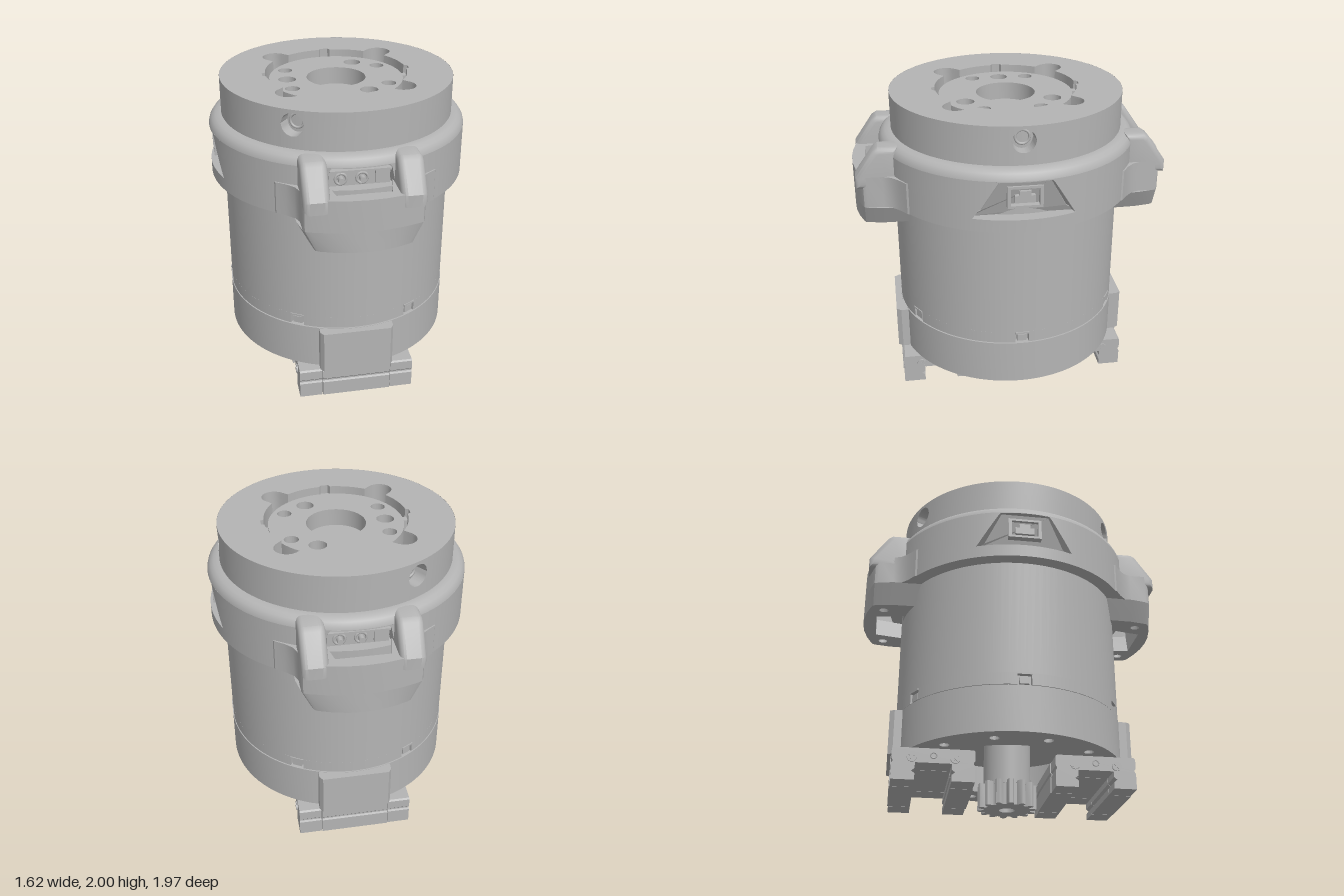
import * as THREE from 'three';
import { toCreasedNormals } from 'three/addons/utils/BufferGeometryUtils.js';

const metal = new THREE.MeshStandardMaterial({ color: 0xb4b4b4, side: THREE.DoubleSide });
metal.name = 'grey metal';
const PI = Math.PI;

function add(parent, name, geo, x = 0, y = 0, z = 0) {
  const m = new THREE.Mesh(geo, metal);
  m.name = name;
  m.position.set(x, y, z);
  parent.add(m);
  return m;
}
// Group whose local +x points outward at angle a (from +x towards +z)
function radial(parent, name, a) {
  const g = new THREE.Group();
  g.name = name;
  g.rotation.y = -a;
  parent.add(g);
  return g;
}
const box = (w, h, d) => new THREE.BoxGeometry(w, h, d);
const cyl = (r, h, n = 24) => new THREE.CylinderGeometry(r, r, h, n);
const poly = pts => new THREE.Shape(pts.map(p => new THREE.Vector2(p[0], p[1])));
const mirrored = pts => poly([...pts, ...pts.map(([x, y]) => [-x, y]).reverse()]);
const disc = r => new THREE.Shape().absarc(0, 0, r, 0, 2 * PI);
const hole = (s, x, z, r) => s.holes.push(new THREE.Path().absarc(x, z, r, 0, 2 * PI, true));
const lathe = pts => toCreasedNormals(
  new THREE.LatheGeometry(pts.map(p => new THREE.Vector2(p[0], p[1])), 96), 0.5);

// Plan shape (x, z) raised from y0 to y1
function slab(shape, y0, y1) {
  const g = new THREE.ExtrudeGeometry(shape, { depth: y1 - y0, bevelEnabled: false, curveSegments: 48 });
  return toCreasedNormals(g.rotateX(PI / 2).translate(0, y1, 0), 0.5);
}
// Side shape (z, y) extruded from x0 to x1, with an optional rounded edge
function sideways(shape, x0, x1, b = 0) {
  const g = new THREE.ExtrudeGeometry(shape, { depth: x1 - x0 - 2 * b, bevelEnabled: b > 0,
    bevelSize: b, bevelThickness: b, bevelOffset: -b, bevelSegments: 4 });
  return toCreasedNormals(g.rotateY(-PI / 2).translate(x1 - b, 0, 0), 0.6);
}
function sector(r0, r1, a0, a1) {
  return new THREE.Shape().absarc(0, 0, r1, a0, a1).absarc(0, 0, r0, a1, a0, true);
}
// Curved wall with an opening between lo(a) and hi(a), and reveals going inwards
function wall(R, depth, y0, y1, a0, a1, n, lo, hi) {
  const v = [];
  const p = (r, a, y) => [r * Math.cos(a), y, r * Math.sin(a)];
  const quad = (a, b, c, d) => v.push(...a, ...b, ...c, ...a, ...c, ...d);
  for (let i = 0; i < n; i++) {
    const a = a0 + (a1 - a0) * i / n, b = a0 + (a1 - a0) * (i + 1) / n, r = R - depth;
    quad(p(R, b, y0), p(R, a, y0), p(R, a, lo(a)), p(R, b, lo(b)));
    quad(p(R, b, hi(b)), p(R, a, hi(a)), p(R, a, y1), p(R, b, y1));
    if (hi(a) - lo(a) + hi(b) - lo(b) > 0.001) {
      quad(p(R, b, lo(b)), p(R, a, lo(a)), p(r, a, lo(a)), p(r, b, lo(b)));
      quad(p(r, b, hi(b)), p(r, a, hi(a)), p(R, a, hi(a)), p(R, b, hi(b)));
    }
  }
  const g = new THREE.BufferGeometry();
  g.setAttribute('position', new THREE.Float32BufferAttribute(v, 3));
  return toCreasedNormals(g, 0.5);
}

function buildFlange(root) {
  // Ring whose opening has four round lobes and four small notches
  const lobes = [];
  for (let i = 0; i < 240; i++) {
    const a = i * PI / 120, d = 0.488, q = a % (PI / 2);
    let r = Math.min(q, PI / 2 - q) < 0.07 ? 0.465 : 0.445;
    const s = d * Math.sin(q - PI / 4);
    if (Math.abs(s) < 0.08) r = Math.max(r, d * Math.cos(q - PI / 4) + Math.sqrt(0.0064 - s * s));
    lobes.push(new THREE.Vector2(r * Math.cos(a), r * Math.sin(a)));
  }
  const ring = r => { const s = disc(r); s.holes.push(new THREE.Path(lobes)); return s; };
  add(root, 'flangeTop', slab(ring(0.729), 1.99, 2));
  add(root, 'flangeCore', slab(ring(0.65), 1.78, 1.99));
  add(root, 'flangeUnderside', cyl(0.729, 0.02, 96), 0, 1.78, 0);
  const R = 0.73, hr = 0.07;
  for (let k = 0; k < 3; k++) {
    const c = k * 2 * PI / 3;
    const h = a => Math.sqrt(Math.max(0, hr * hr - ((a - c) * R) ** 2));
    add(root, 'flangeWall', wall(R, 0.08, 1.77, 2, c - 0.1, c + 0.1, 40, a => 1.91 - h(a), a => 1.91 + h(a)));
    add(root, 'flangeWall', wall(R, 0, 1.77, 2, c + 0.1, c + 2 * PI / 3 - 0.1, 32, () => 1.9, () => 1.9));
    const g = radial(root, 'sideBolt', c);
    add(g, 'boltRing', new THREE.TorusGeometry(0.042, 0.008, 8, 24).rotateY(PI / 2), 0.655, 1.91, 0);
  }
  // Pocket floor with screw holes under the lobes
  const floor = disc(0.6), rotor = disc(0.42);
  for (const x of [-0.345, 0.345]) for (const z of [-0.345, 0.345]) hole(floor, x, z, 0.04);
  add(root, 'pocketFloor', slab(floor, 1.795, 1.85));
  // Output disc
  hole(rotor, 0, 0, 0.185);
  hole(rotor, -0.31, 0, 0.055);
  for (const s of [-1, 1]) {
    hole(rotor, 0.155, s * 0.27, 0.055);
    hole(rotor, 0.3, s * 0.175, 0.045);
    hole(rotor, -0.3, s * 0.175, 0.045);
  }
  add(root, 'outputDisc', slab(rotor, 1.85, 1.96));
  for (let k = 0; k < 4; k++) add(radial(root, 'discKey', k * PI / 2), 'key', box(0.04, 0.1, 0.05), 0.43, 1.9, 0);
}

function buildCollar(root) {
  add(root, 'collarRim', lathe([[0.81, 1.7], [0.805, 1.72], [0.79, 1.742], [0.768, 1.757], [0.74, 1.763], [0.72, 1.763]]));
  add(root, 'collarUnderside', lathe([[0.72, 1.38], [0.81, 1.38]]));
  const window_ = (c, lo, h, w0, w1) => a =>
    lo + h * Math.min(1, Math.max(0, (w0 - Math.abs(a - c) * 0.81) / (w0 - w1)));
  for (let k = 0; k < 4; k++) {
    const c = k * PI / 2, side = k % 2 === 0, lo = side ? 1.46 : 1.56;
    const hi = side ? window_(c, lo, 0.235, 0.31, 0.16) : window_(c, lo, 0.135, 0.21, 0.18);
    add(root, 'collarWall', wall(0.81, 0.08, 1.38, 1.7, c - PI / 4, c + PI / 4, 90, () => lo, hi));
    const g = radial(root, side ? 'sideSocket' : 'powerSocket', c);
    if (side) {
      // Sloping recess floor and small socket
      const slope = sideways(mirrored([[0.31, 1.46], [0.25, 1.5], [0.15, 1.69]]), 0, 0.012);
      const p = slope.attributes.position;
      for (let i = 0; i < p.count; i++)
        p.setX(i, p.getX(i) + 0.748 + Math.max(0, p.getY(i) - 1.5) * 0.2 - 0.5 * p.getZ(i) ** 2);
      slope.computeVertexNormals();
      add(g, 'recessFloor', slope);
      for (const s of [-1, 1]) {
        add(g, 'socketSide', box(0.04, 0.11, 0.02), 0.772, 1.595, s * 0.095);
        add(g, 'socketEdge', box(0.04, 0.015, 0.21), 0.772, 1.595 + s * 0.06, 0);
      }
      add(g, 'socketTongue', box(0.03, 0.045, 0.12), 0.772, 1.58, 0);
      add(g, 'socketTab', box(0.03, 0.03, 0.07), 0.772, 1.615, 0);
    } else {
      add(g, 'socketBlock', box(0.04, 0.11, 0.36), 0.73, 1.62, 0);
      add(g, 'socketTop', box(0.06, 0.012, 0.36), 0.76, 1.67, 0);
      for (const z of [0.11, -0.015]) {
        add(g, 'pinRing', new THREE.TorusGeometry(0.033, 0.008, 8, 20).rotateY(PI / 2), 0.752, 1.61, z);
        add(g, 'pin', cyl(0.018, 0.05, 16).rotateZ(PI / 2), 0.765, 1.61, z);
      }
      add(g, 'signalPlug', box(0.03, 0.08, 0.07), 0.755, 1.62, -0.125);
    }
  }
}

function buildLug(root, turn) {
  const g = new THREE.Group();
  g.name = 'lug';
  g.rotation.y = turn;
  root.add(g);
  const arc = [[0.345, 0.92], [0.32, 0.932], [0.22, 0.96], [0.11, 0.979], [0, 0.985]];
  const slot = s => {
    s.holes.push(new THREE.Path([[-0.2, 0.72], [-0.16, 0.9], [0.16, 0.9], [0.2, 0.72]].map(p => new THREE.Vector2(...p))));
    return s;
  };
  const upper = slot(mirrored([[0.5, 0.6], [0.475, 0.665], [0.42, 0.705], [0.375, 0.75], [0.355, 0.8], [0.355, 0.9], ...arc]));
  add(g, 'lugBody', slab(upper, 1.38, 1.58));
  const lower = slot(mirrored([[0.38, 0.6], [0.375, 0.8], [0.355, 0.9], ...arc]));
  for (const s of [-1, 1]) hole(lower, s * 0.275, 0.85, 0.03);
  // Lower part narrows towards its foot
  const foot = slab(lower, 1.25, 1.381), p = foot.attributes.position;
  for (let i = 0; i < p.count; i++) if (p.getY(i) < 1.3) p.setX(i, p.getX(i) * 0.82);
  add(g, 'lugFoot', toCreasedNormals(foot, 0.5));
  const post = [[0.7, 1.5], [0.965, 1.5], [0.965, 1.575], [0.85, 1.74], [0.82, 1.76], [0.7, 1.76]];
  for (const x of [-0.355, 0.2]) add(g, 'lugPost', sideways(poly(post), x, x + 0.155, 0.035));
}

function buildBody(root) {
  add(root, 'housing', cyl(0.726, 1.14, 96), 0, 1.2, 0);
  add(root, 'housingCore', cyl(0.69, 0.1, 96), 0, 0.59, 0);
  for (let k = 0; k < 6; k++) {
    const a = k * PI / 3;
    add(root, 'housingSkirt', slab(sector(0.68, 0.726, a + 0.06, a + PI / 3 - 0.06), 0.555, 0.63));
    const g = radial(root, 'clip', a);
    add(g, 'clipTongue', box(0.04, 0.045, 0.06), 0.7, 0.585, 0);
    add(g, 'clipLip', box(0.03, 0.012, 0.09), 0.716, 0.625, 0);
  }
  // Base ring with bolt holes and a hollow underside
  const base = disc(0.73);
  hole(base, 0, 0, 0.5);
  for (let k = 0; k < 12; k++) hole(base, 0.62 * Math.cos((k + 0.5) * PI / 6), 0.62 * Math.sin((k + 0.5) * PI / 6), 0.03);
  add(root, 'baseRing', slab(base, 0.26, 0.55));
  add(root, 'baseInside', cyl(0.68, 0.1, 64), 0, 0.495, 0);
  for (const s of [-1, 1])
    add(root, 'basePad', slab(mirrored([[0.235, s * 0.6], [0.235, s * 0.74], [0.215, s * 0.77]]), 0.262, 0.548));
}

function buildDrive(root) {
  // Output pinion
  const teeth = [], n = 14;
  for (let i = 0; i < n; i++)
    for (const [t, r] of [[-0.34, 0.148], [-0.22, 0.178], [-0.12, 0.188], [0.12, 0.188], [0.22, 0.178], [0.34, 0.148]]) {
      const a = (i + t) * 2 * PI / n;
      teeth.push([r * Math.cos(a), r * Math.sin(a)]);
    }
  const gear = poly(teeth);
  hole(gear, 0, 0, 0.05);
  add(root, 'pinion', slab(gear, 0, 0.155));
  add(root, 'pinionHub', cyl(0.15, 0.32, 48), 0, 0.3, 0);
}

function buildCarriage(root, s) {
  const g = new THREE.Group();
  g.name = 'carriage';
  g.position.z = s * 0.495;
  root.add(g);
  const profile = k => mirrored([[0.11, 0.168], [0.11, 0.132], [0.13, 0.116], [0.11, 0.1], [0.11, 0.06],
    [k, 0.06], [k, 0.16], [k - 0.008, 0.17], [k - 0.008, 0.18], [k, 0.19], [k, 0.25], [k - 0.01, 0.259]]);
  add(g, 'carriageBlock', sideways(profile(0.255), -0.22, 0.22));
  for (const e of [-1, 1]) {
    add(g, 'endCap', sideways(profile(0.25), e > 0 ? 0.224 : -0.37, e > 0 ? 0.37 : -0.224));
    for (const z of [-0.13, 0.13]) {
      add(g, 'screwHead', cyl(0.03, 0.012, 20).rotateZ(PI / 2), e * 0.372, 0.2, z);
      for (const t of [PI / 4, -PI / 4])
        add(g, 'screwCross', box(0.006, 0.044, 0.01).rotateX(t), e * 0.378, 0.2, z);
    }
    add(g, 'greasePort', new THREE.TorusGeometry(0.018, 0.004, 6, 20).rotateY(PI / 2), e * 0.37, 0.215, 0);
  }
}

export function createModel() {
  const root = new THREE.Group();
  root.name = 'actuator';
  buildFlange(root);
  buildCollar(root);
  for (const t of [0, PI]) buildLug(root, t);
  buildBody(root);
  buildDrive(root);
  for (const s of [-1, 1]) buildCarriage(root, s);
  return root;
}
